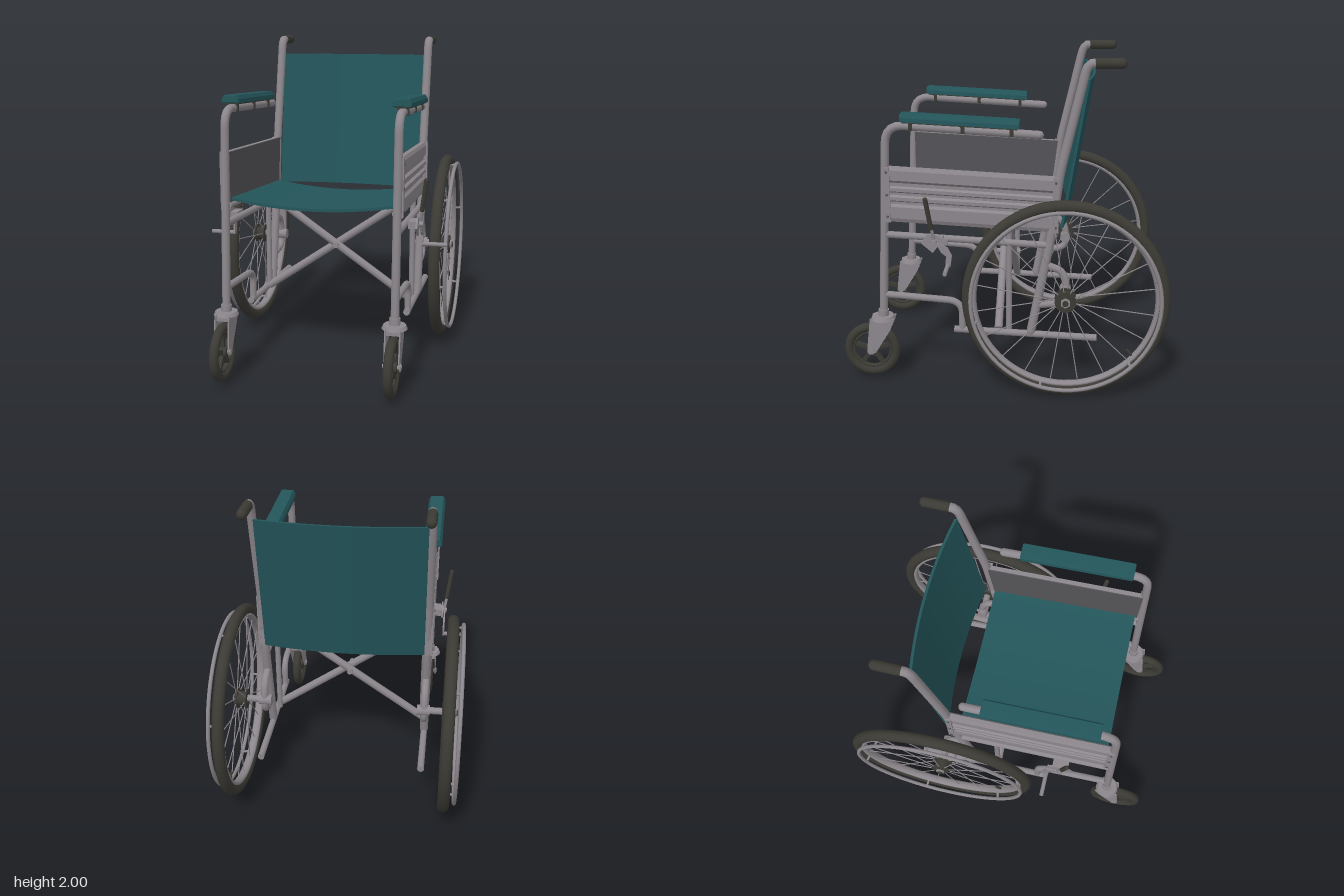
import * as THREE from 'three';
import { mergeGeometries } from 'three/addons/utils/BufferGeometryUtils.js';

const mat = (name, color, side = THREE.FrontSide) => {
  const m = new THREE.MeshStandardMaterial({ color, side });
  m.name = name;
  return m;
};

export function createModel() {
  const model = new THREE.Group();
  model.name = 'wheelchair';
  const metal = mat('grey metal', 0x8c878c);
  const rubber = mat('dark rubber', 0x3b3a34);
  const teal = mat('teal fabric', 0x23555a);
  const liner = mat('dark grey liner', 0x545357);
  const V = (x, y, z) => new THREE.Vector3(x, y, z);

  const add = (parent, name, geo, material, x = 0, y = 0, z = 0) => {
    const m = new THREE.Mesh(geo, material);
    m.name = name;
    m.position.set(x, y, z);
    parent.add(m);
    return m;
  };
  // Straight rod between two points
  const rod = (parent, name, a, b, r, material, sides = 12) => {
    const d = b.clone().sub(a);
    const m = add(parent, name, new THREE.CylinderGeometry(r, r, d.length(), sides), material);
    m.position.copy(a).add(b).multiplyScalar(0.5);
    m.quaternion.setFromUnitVectors(V(0, 1, 0), d.normalize());
    return m;
  };
  // Bent tube: straight runs joined by rounded corners, with domed ends
  const tube = (parent, name, pts, r, bend, material = metal) => {
    const path = new THREE.CurvePath();
    let from = pts[0];
    for (let i = 1; i < pts.length - 1; i++) {
      const toward = (q) => {
        const d = q.clone().sub(pts[i]);
        return pts[i].clone().addScaledVector(d.clone().normalize(), Math.min(bend, d.length() * 0.45));
      };
      const a = toward(pts[i - 1]), b = toward(pts[i + 1]);
      path.add(new THREE.LineCurve3(from, a));
      path.add(new THREE.QuadraticBezierCurve3(a, pts[i], b));
      from = b;
    }
    path.add(new THREE.LineCurve3(from, pts[pts.length - 1]));
    const parts = [new THREE.TubeGeometry(path, 64, r, 12)];
    for (const p of [pts[0], pts[pts.length - 1]]) {
      parts.push(new THREE.SphereGeometry(r, 12, 8).translate(p.x, p.y, p.z));
    }
    return add(parent, name, mergeGeometries(parts), material);
  };
  const warp = (geo, rule) => {
    const p = geo.attributes.position, v = V(0, 0, 0);
    for (let i = 0; i < p.count; i++) {
      rule(v.fromBufferAttribute(p, i));
      p.setXYZ(i, v.x, v.y, v.z);
    }
    geo.computeVertexNormals();
    return geo;
  };
  // Plate outlined in (z, y), with its thickness along x
  const sidePlate = (outline, t) => new THREE.ExtrudeGeometry(
    new THREE.Shape(outline.map(([z, y]) => new THREE.Vector2(-z, y))), { depth: t, bevelEnabled: false }
  ).translate(0, 0, -t / 2).rotateY(Math.PI / 2);

  // Sagging seat sling and curved back sling
  add(model, 'seat', warp(new THREE.BoxGeometry(0.98, 0.016, 0.94, 20, 1, 4), (v) => {
    v.z += 0.195;
    v.y += 1.0 + 0.07 * (v.z + 0.28) / 0.94 - 0.03 + 0.045 * (v.x / 0.49) ** 2;
  }), teal);
  add(model, 'backrest', warp(new THREE.BoxGeometry(0.98, 0.875, 0.016, 20, 6, 1), (v) => {
    const t = v.y / 0.875 + 0.5;
    v.y += 1.4375;
    v.z += -0.345 - 0.14 * t - 0.045 * (1 - (v.x / 0.49) ** 2);
  }), teal);

  // Folding cross braces
  for (const s of [1, -1]) {
    const z = s > 0 ? 0.03 : -0.035;
    rod(model, 'crossBrace', V(-0.485 * s, 1.01, z), V(0.485 * s, 0.34, z), 0.025, metal);
  }
  rod(model, 'crossPivot', V(0, 0.675, -0.08), V(0, 0.675, 0.075), 0.018, metal);

  for (const s of [1, -1]) {
    const side = new THREE.Group();
    side.name = s > 0 ? 'leftSide' : 'rightSide';
    model.add(side);
    const P = (z, y, x = 0.505) => V(x * s, y, z);
    const X = 0.505 * s;

    // Tube frame
    tube(side, 'frontLegAndArm', [P(0.735, 0.42), P(0.68, 1.61), P(-0.21, 1.56)], 0.025, 0.11);
    tube(side, 'backPost', [P(-0.17, 0.34), P(-0.28, 0.92), P(-0.33, 1.33), P(-0.475, 1.97), P(-0.55, 1.97)], 0.027, 0.06);
    tube(side, 'handGrip', [P(-0.53, 1.97), P(-0.665, 1.97)], 0.03, 0, rubber);
    rod(side, 'sideRail', P(0.71, 0.945), P(-0.285, 0.895), 0.021, metal);
    tube(side, 'lowerRail', [P(0.73, 0.56), P(0.25, 0.525), P(0.25, 0.34)], 0.021, 0.09);
    rod(side, 'bottomBar', P(0.3, 0.34), P(-0.57, 0.305), 0.021, metal);
    rod(side, 'seatRail', P(0.69, 1.05, 0.49), P(-0.3, 1.0, 0.49), 0.018, metal);
    rod(side, 'braceLink', P(-0.035, 0.34, 0.485), P(-0.035, 0.98, 0.485), 0.018, metal);

    // Ribbed side panel, tilted with the frame
    const tilt = (v) => { v.y += 0.05 * v.z; };
    const ribs = [[0.49, 0.996], [0.518, 0.996], [0.528, 1.02], [0.528, 1.09], [0.514, 1.105], [0.514, 1.12],
      [0.53, 1.13], [0.53, 1.15], [0.514, 1.16], [0.514, 1.175], [0.53, 1.185], [0.53, 1.205], [0.514, 1.215],
      [0.514, 1.235], [0.528, 1.25], [0.528, 1.31], [0.518, 1.33], [0.49, 1.33]];
    const profile = new THREE.Shape(ribs.map(([x, y]) => new THREE.Vector2(x * s, y)));
    add(side, 'sidePanel', warp(new THREE.ExtrudeGeometry(profile, { depth: 1.01, bevelEnabled: false })
      .translate(0, 0, -0.325), tilt), metal);
    add(side, 'panelLiner', warp(new THREE.BoxGeometry(0.006, 0.33, 1.0).translate(0.486 * s, 1.163, 0.18), tilt), liner);
    for (const z of [0.68, -0.31]) {
      add(side, 'panelEndStrip', warp(new THREE.BoxGeometry(0.014, 0.335, 0.035).translate(0.53 * s, 1.163, z), tilt), metal);
      for (const y of [1.03, 1.163, 1.3]) {
        rod(side, 'rivet', P(z, y + 0.05 * z, 0.535), P(z, y + 0.05 * z, 0.542), 0.008, liner, 8);
      }
    }

    // Armrest pad with chamfered top, dark underside and clips
    const armTilt = (v) => { v.y += 0.05 * v.z; };
    const pad = [[-0.052, 0], [0.052, 0], [0.05, 0.02], [0.038, 0.04], [-0.038, 0.04], [-0.05, 0.02]];
    add(side, 'armrestPad', warp(new THREE.ExtrudeGeometry(
      new THREE.Shape(pad.map(([x, y]) => new THREE.Vector2(x, y))),
      { depth: 0.67, bevelEnabled: true, bevelSize: 0.003, bevelThickness: 0.008, bevelSegments: 1 }
    ).translate(X, 1.609, -0.09), armTilt), teal);
    add(side, 'padBase', warp(new THREE.BoxGeometry(0.09, 0.008, 0.66).translate(X, 1.603, 0.245), armTilt), rubber);
    for (const z of [0.53, 0.23, -0.05]) {
      add(side, 'padClip', new THREE.BoxGeometry(0.06, 0.05, 0.022), rubber, X, 1.58 + 0.05 * z, z);
    }

    // Rear axle and its curved carrier
    tube(side, 'axleCarrier', [P(-0.26, 0.77), P(-0.37, 0.73), P(-0.39, 0.53), P(-0.21, 0.515)], 0.023, 0.09);
    rod(side, 'axle', P(-0.375, 0.615, 0.46), P(-0.375, 0.615, 0.68), 0.022, metal);
    rod(side, 'axleSleeve', P(-0.375, 0.615, 0.46), P(-0.375, 0.615, 0.54), 0.034, metal, 16);

    // Rear wheel: local z points outward
    const wheel = new THREE.Group();
    wheel.name = 'rearWheel';
    wheel.position.set(0.655 * s, 0.61, -0.375);
    wheel.rotation.y = s * Math.PI / 2;
    side.add(wheel);
    add(wheel, 'tyre', new THREE.TorusGeometry(0.573, 0.036, 14, 72), rubber);
    add(wheel, 'rim', new THREE.TorusGeometry(0.538, 0.016, 10, 72), metal).scale.z = 1.7;
    add(wheel, 'handRim', new THREE.TorusGeometry(0.552, 0.012, 8, 72), metal, 0, 0, 0.065);
    rod(wheel, 'hub', V(0, 0, -0.035), V(0, 0, 0.04), 0.045, rubber, 20);
    for (const z of [-0.03, 0.03]) rod(wheel, 'hubFlange', V(0, 0, z - 0.008), V(0, 0, z + 0.008), 0.063, rubber, 20);
    rod(wheel, 'hubNut', V(0, 0, 0.03), V(0, 0, 0.052), 0.03, metal, 6);
    rod(wheel, 'hubCap', V(0, 0, 0.05), V(0, 0, 0.06), 0.018, rubber, 12);
    for (let i = 0; i < 20; i++) {
      const a = (i + 0.5) * Math.PI / 10, c = Math.cos(a), n = Math.sin(a);
      rod(wheel, 'spoke', V(c * 0.05, n * 0.05, i % 2 ? 0.03 : -0.03), V(c * 0.53, n * 0.53, 0), 0.0035, metal, 6);
    }
    for (let i = 0; i < 6; i++) {
      const a = (i + 0.25) * Math.PI / 3, c = Math.cos(a), n = Math.sin(a);
      rod(wheel, 'handRimPeg', V(c * 0.535, n * 0.535, 0.01), V(c * 0.55, n * 0.55, 0.065), 0.008, metal, 8);
    }
    rod(wheel, 'valve', V(0.36, -0.3, 0).multiplyScalar(1.02), V(0.4, -0.345, 0), 0.009, rubber, 8);

    // Caster fork
    add(side, 'casterCrown', new THREE.CylinderGeometry(0.065, 0.075, 0.022, 16), metal, X, 0.41, 0.74);
    rod(side, 'casterStem', P(0.74, 0.36), P(0.735, 0.46), 0.032, metal, 14);
    add(side, 'forkBridge', new THREE.BoxGeometry(0.088, 0.03, 0.13), metal, X, 0.39, 0.74);
    const fork = [[0.665, 0.41], [0.815, 0.41], [0.84, 0.2], [0.815, 0.175], [0.785, 0.185], [0.69, 0.34]];
    for (const o of [-0.042, 0.042]) add(side, 'forkBlade', sidePlate(fork, 0.009), metal, X + o, 0, 0);
    rod(side, 'casterAxle', P(0.815, 0.195, 0.45), P(0.815, 0.195, 0.56), 0.013, metal);
    for (const x of [0.454, 0.548]) rod(side, 'casterNut', P(0.815, 0.195, x), P(0.815, 0.195, x + 0.01), 0.024, metal, 6);

    // Caster wheel with five spokes
    const caster = new THREE.Group();
    caster.name = 'casterWheel';
    caster.position.set(X, 0.192, 0.815);
    caster.rotation.y = s * Math.PI / 2;
    side.add(caster);
    add(caster, 'casterTyre', new THREE.TorusGeometry(0.146, 0.028, 12, 40), rubber);
    add(caster, 'casterRim', new THREE.TorusGeometry(0.115, 0.011, 8, 40), rubber).scale.z = 1.6;
    rod(caster, 'casterHub', V(0, 0, -0.03), V(0, 0, 0.03), 0.032, rubber, 16);
    for (let i = 0; i < 5; i++) {
      add(caster, 'casterSpoke', new THREE.BoxGeometry(0.024, 0.1, 0.025).translate(0, 0.07, 0), rubber)
        .rotation.z = (i * 2 * Math.PI) / 5;
    }

    // Parking brake: mount, link plates, lever and shoe
    add(side, 'brakeMount', new THREE.BoxGeometry(0.045, 0.045, 0.1), metal, 0.55 * s, 0.93, 0.4);
    add(side, 'brakePlate', sidePlate([[0.48, 0.92], [0.44, 0.975], [0.39, 0.97], [0.32, 0.94], [0.32, 0.915],
      [0.38, 0.9], [0.41, 0.86]], 0.012), metal, 0.58 * s, 0, 0);
    add(side, 'brakeClaw', sidePlate([[0.39, 0.93], [0.32, 0.9], [0.295, 0.85], [0.305, 0.78], [0.335, 0.785],
      [0.33, 0.845], [0.36, 0.87]], 0.012), metal, 0.595 * s, 0, 0);
    rod(side, 'brakePivot', P(0.4, 0.93, 0.54), P(0.4, 0.93, 0.61), 0.016, metal, 10);
    rod(side, 'brakeShoe', P(0.32, 0.79, 0.59), P(0.32, 0.79, 0.745), 0.013, metal, 10);
    rod(side, 'brakeLever', P(0.4, 0.95, 0.595), P(0.425, 1.08, 0.615), 0.01, metal, 8);
    tube(side, 'leverGrip', [P(0.415, 1.02, 0.605), P(0.44, 1.2, 0.63)], 0.014, 0, rubber);
  }
  return model;
}
